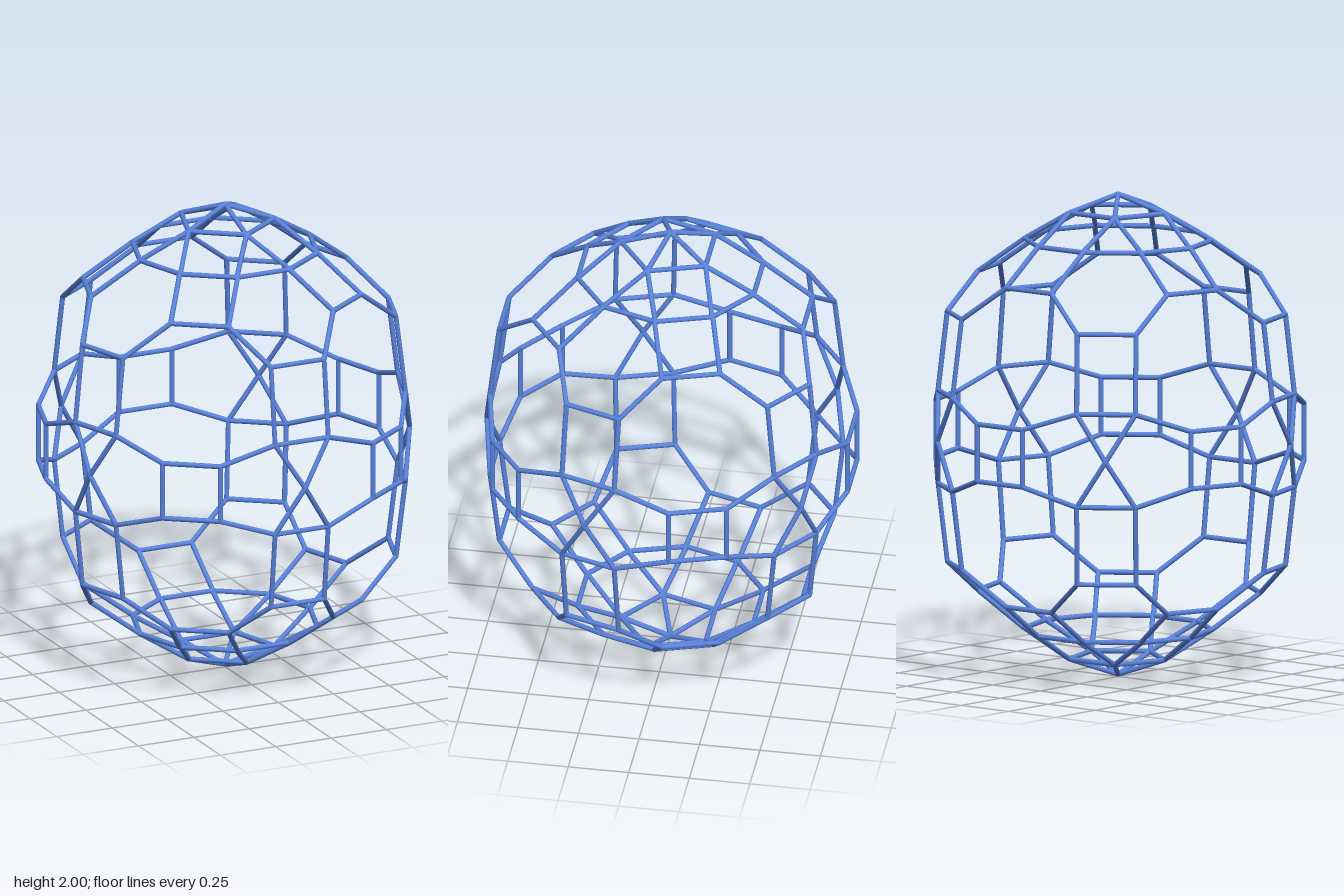
import * as THREE from 'three';
import { mergeGeometries } from 'three/addons/utils/BufferGeometryUtils.js';

const R = 0.0105;        // strut radius
const H = 0.12;          // half of the common strut length
const AXIS_Z = -0.004;   // the five-fold axis sits slightly behind the centre
const UP = new THREE.Vector3(0, 1, 0);

// Point given in a sector frame whose outward axis is turned by deg about the axis
function at(deg, x, y, z) {
  const p = new THREE.Vector3(x, y, z).applyAxisAngle(UP, THREE.MathUtils.degToRad(deg));
  p.z += AXIS_Z;
  return p;
}

function strut(a, b) {
  const dir = b.clone().sub(a);
  const geo = new THREE.CylinderGeometry(R, R, dir.length(), 8, 1, true);
  geo.applyQuaternion(new THREE.Quaternion().setFromUnitVectors(UP, dir.normalize()));
  return geo.translate((a.x + b.x) / 2, (a.y + b.y) / 2, (a.z + b.z) / 2);
}

export function createModel() {
  const group = new THREE.Group();
  const material = new THREE.MeshStandardMaterial({ color: 0x5a83dc });
  const parts = { capStruts: [], shoulderStruts: [], sideStruts: [], beltStruts: [], joints: [] };
  const seen = new Set();

  const joint = (p) => {
    const key = p.toArray().map((v) => Math.round(v * 200)).join();
    if (seen.has(key)) return;
    seen.add(key);
    parts.joints.push(new THREE.SphereGeometry(R, 8, 6).translate(p.x, p.y, p.z));
  };
  const link = (part, ...points) => {
    points.forEach(joint);
    for (let i = 1; i < points.length; i++) parts[part].push(strut(points[i - 1], points[i]));
  };

  for (const half of [1, -1]) {
    const y = (v) => 1 + half * (v - 1);
    const apex = at(0, 0, y(1.99), 0);
    for (let k = 0; k < 5; k++) {
      const A = 72 * k, B = A + 36, C = A + 72;   // pyramid axis, square axis, next pyramid axis
      const pole = (deg) => at(deg, 0, y(1.92), 0.204);
      const hub = at(A, 0, 1, 0.759);
      const crown = (s, deg) => at(deg, s * H, y(1.803), 0.364);
      const shoulder = (s) => at(B, s * H, y(1.658), 0.567);
      const side = (s, deg) => at(deg, s * H, y(1.516), 0.687);
      const rim = (s, deg) => at(deg, s * H, y(1.192), 0.726);
      const belt = (s, v) => at(B, s * H, v, 0.751);

      // Cap: five-sided pyramid, triangles and ten-sided ring
      link('capStruts', apex, pole(A), pole(C));
      link('capStruts', pole(A), crown(-1, A), crown(1, A), pole(A));
      link('capStruts', crown(-1, B), crown(1, B));

      // Shoulder squares and their links to the side panels
      link('shoulderStruts', crown(-1, B), shoulder(-1), shoulder(1), crown(1, B));
      link('shoulderStruts', shoulder(-1), side(1, A));
      link('shoulderStruts', shoulder(1), side(-1, C));

      // Upright side panels
      link('sideStruts', rim(-1, A), side(-1, A), side(1, A), rim(1, A), rim(-1, A));

      // Belt: low pyramids alternating with squares
      link('beltStruts', rim(-1, A), hub, rim(1, A));
      link('beltStruts', rim(1, A), belt(-1, y(1.118)), belt(1, y(1.118)), rim(-1, C));
      if (half === 1) {
        for (const s of [-1, 1]) link('beltStruts', belt(s, 1.118), belt(s, 0.882));
      }
    }
  }

  for (const [name, geos] of Object.entries(parts)) {
    const mesh = new THREE.Mesh(mergeGeometries(geos), material);
    mesh.name = name;
    group.add(mesh);
  }
  return group;
}
